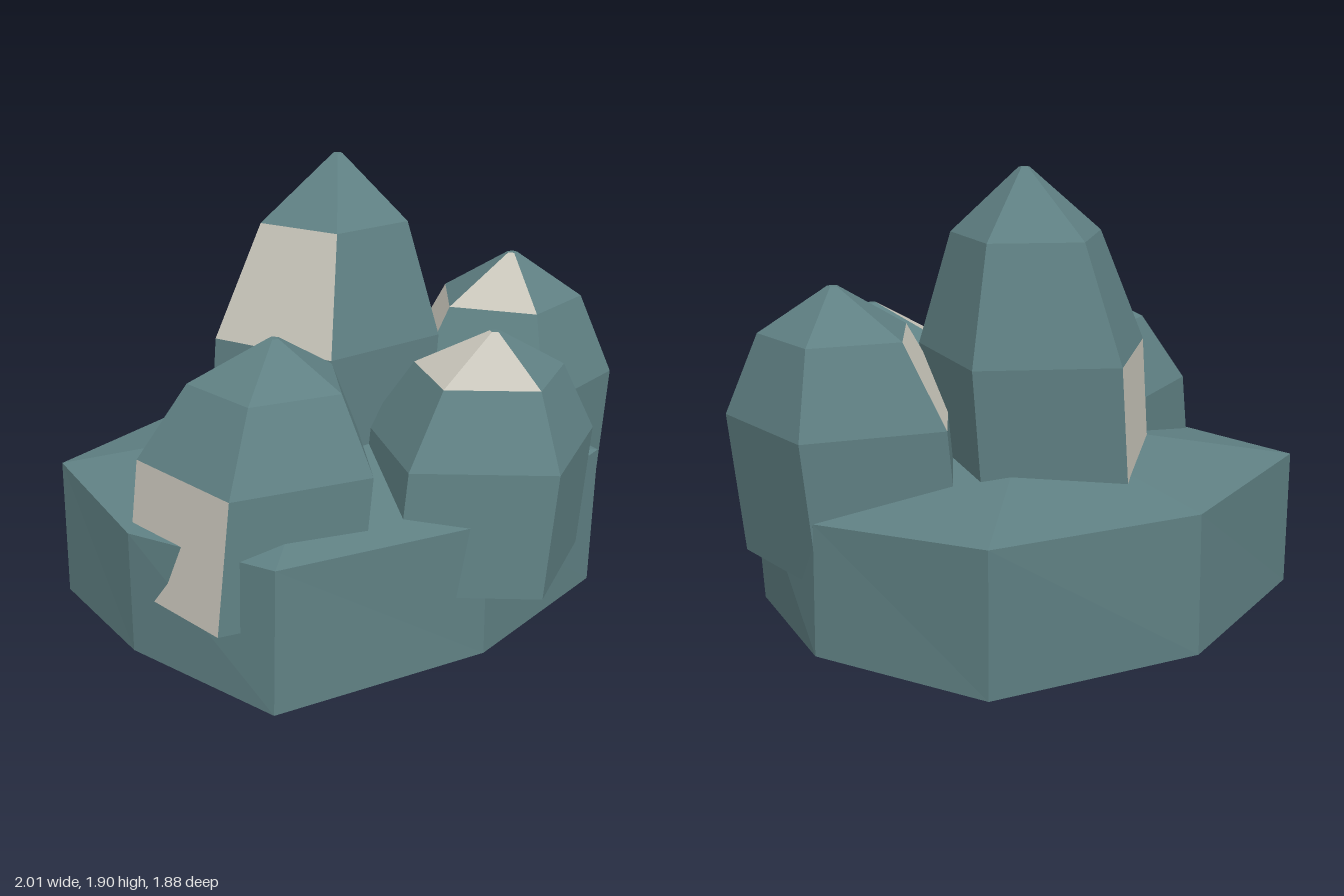
import * as THREE from 'three';

const slate = new THREE.MeshStandardMaterial({ color: 0x5f8083 });
slate.name = 'slate teal';
const pale = new THREE.MeshStandardMaterial({ color: 0xc9c6bb });
pale.name = 'pale stone';

// Faceted solid through stacked rings; a ring of one point closes an end.
// paleFaces lists [level, side] pairs that take the second material.
function loft(name, rings, paleFaces = []) {
  const buckets = [[], []];
  const sides = Math.max(...rings.map(r => r.length));
  for (let k = 0; k < rings.length - 1; k++) {
    const at = (ring, i) => ring[i % ring.length];
    for (let i = 0; i < sides; i++) {
      const out = buckets[paleFaces.some(f => f[0] === k && f[1] === i) ? 1 : 0];
      const a = at(rings[k], i), b = at(rings[k], i + 1);
      const d = at(rings[k + 1], i), c = at(rings[k + 1], i + 1);
      if (c !== d) out.push(...a, ...d, ...c);
      if (a !== b) out.push(...a, ...c, ...b);
    }
  }
  const geometry = new THREE.BufferGeometry();
  geometry.setAttribute('position', new THREE.Float32BufferAttribute(buckets.flat(), 3));
  geometry.addGroup(0, buckets[0].length / 3, 0);
  if (buckets[1].length) geometry.addGroup(buckets[0].length / 3, buckets[1].length / 3, 1);
  geometry.computeVertexNormals(); // unshared corners give flat facets
  const mesh = new THREE.Mesh(geometry, [slate, pale]);
  mesh.name = name;
  return mesh;
}

// Five-sided crystal: straight shaft, narrowing shoulder, blunt point, leaning along x.
function crystal(name, { foot, tip, z, top, turn, paleFaces }) {
  const bottom = 0.49;
  const centre = t => [foot + (tip - foot) * t, bottom + (top - bottom) * t, z];
  const ring = (t, radius) => Array.from({ length: 5 }, (_, i) => {
    const angle = THREE.MathUtils.degToRad(turn + i * 72);
    const [x, y] = centre(t);
    return [x + radius * Math.cos(angle), y, z + radius * Math.sin(angle)];
  });
  return loft(name, [
    [centre(0)], ring(0, 0.445), ring(0.53, 0.445), ring(0.83, 0.29), ring(1, 0.02), [centre(1)],
  ], paleFaces);
}

export function createModel() {
  const model = new THREE.Group();
  model.name = 'crystalCluster';

  // Eight-sided rock with a pointed underside and gently domed top
  model.add(loft('rockBase', [
    [[-0.06, 0, -0.06]],
    [[0.96, 0.245, -0.03], [0.72, 0.225, 0.6], [-0.06, 0.24, 0.76], [-0.885, 0.23, 0.57],
      [-1, 0.26, -0.08], [-0.87, 0.23, -0.71], [-0.04, 0.23, -0.94], [0.75, 0.225, -0.69]],
    [[0.96, 0.735, -0.04], [0.77, 0.76, 0.58], [-0.06, 0.745, 0.76], [-0.86, 0.755, 0.56],
      [-1, 0.72, -0.08], [-0.86, 0.76, -0.72], [-0.03, 0.755, -0.94], [0.77, 0.765, -0.71]],
    [[-0.05, 0.93, -0.08]],
  ]));

  // Crystals
  model.add(
    crystal('backCrystal', { foot: -0.03, tip: 0.105, z: -0.205, top: 1.905, turn: 57, paleFaces: [[2, 1], [1, 2]] }),
    crystal('rightCrystal', { foot: -0.62, tip: -0.5, z: 0.135, top: 1.38, turn: 0, paleFaces: [[1, 2]] }),
    crystal('frontCrystal', { foot: 0.105, tip: 0.23, z: 0.505, top: 1.34, turn: 99, paleFaces: [[3, 0], [3, 1]] }),
    crystal('leftCrystal', { foot: 0.55, tip: 0.675, z: 0.18, top: 1.5, turn: 43, paleFaces: [[3, 1], [2, 2]] }),
  );
  return model;
}
